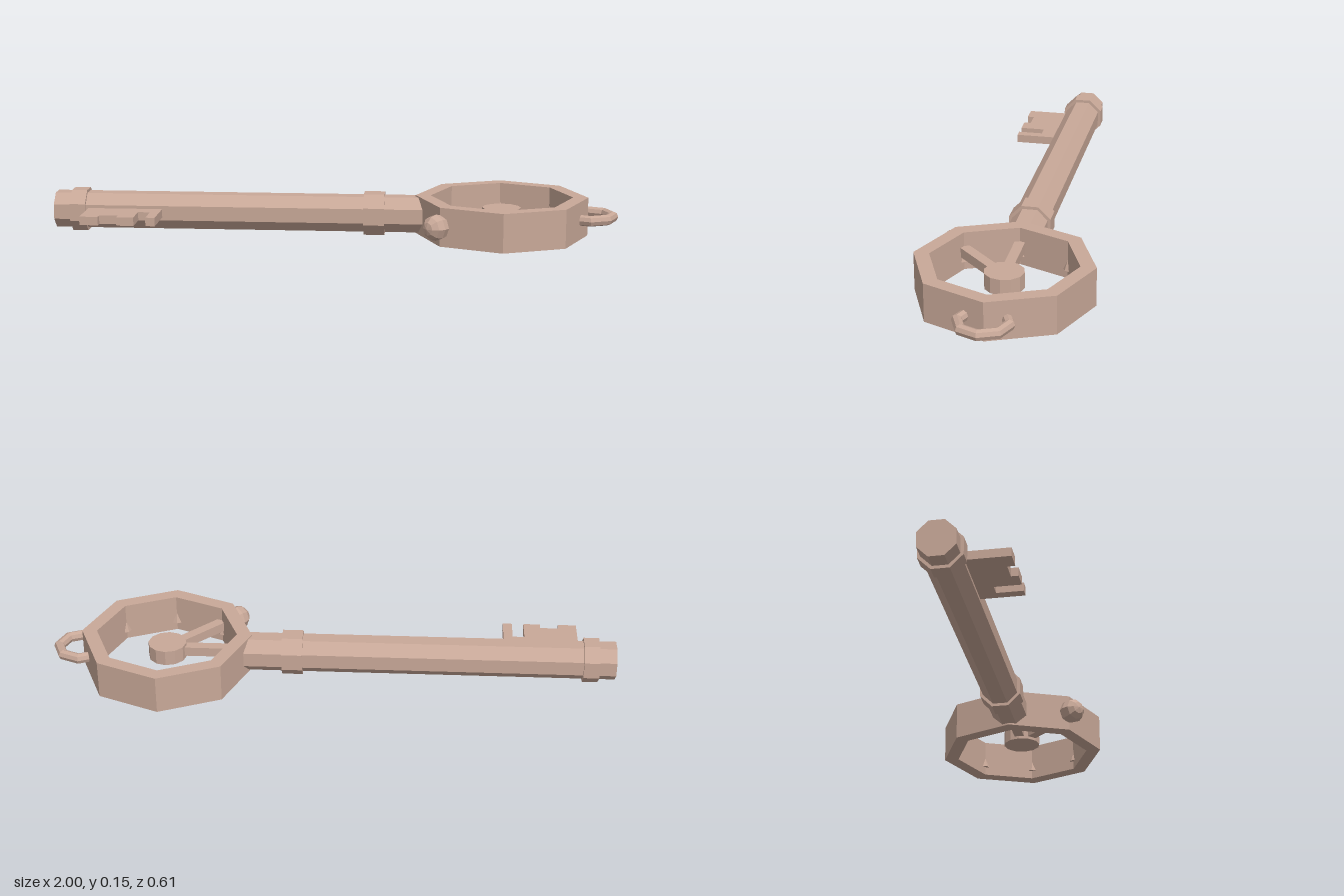
import * as THREE from 'three';

const AXIS = 0.075; // height of the shaft's centre line
const RING_X = 0.59;

export function createModel() {
  const key = new THREE.Group();
  key.name = 'key';
  const metal = new THREE.MeshStandardMaterial({ color: 0xc8a898, flatShading: true });
  metal.name = 'rose metal';

  const add = (name, geometry, x, y, z) => {
    const mesh = new THREE.Mesh(geometry, metal);
    mesh.name = name;
    mesh.position.set(x, y, z);
    key.add(mesh);
    return mesh;
  };

  // Eight-sided bar along x, flat side up, sized by its half height
  const bar = (name, x0, x1, half) => {
    const g = new THREE.CylinderGeometry(half / Math.cos(Math.PI / 8), half / Math.cos(Math.PI / 8), x1 - x0, 8);
    g.rotateY(Math.PI / 8).rotateZ(Math.PI / 2);
    return add(name, g, (x0 + x1) / 2, AXIS, 0);
  };
  bar('shaft', -1, 0.32, 0.0625);
  bar('tipCollar', -0.94, -0.885, 0.073);
  bar('ringCollar', 0.105, 0.178, 0.073);

  // Notched bit; the outline is drawn in x and z
  const bitOutline = [
    [-0.875, 0.03], [-0.61, 0.03], [-0.61, 0.21], [-0.643, 0.21], [-0.643, 0.12], [-0.685, 0.12],
    [-0.685, 0.21], [-0.745, 0.21], [-0.745, 0.185], [-0.81, 0.185], [-0.81, 0.21], [-0.875, 0.21],
  ].map(([x, z]) => new THREE.Vector2(x, z));
  const bit = new THREE.ExtrudeGeometry(new THREE.Shape(bitOutline), { depth: 0.03, bevelEnabled: false });
  add('bit', bit.rotateX(Math.PI / 2), 0, AXIS + 0.015, 0);

  // Octagonal ring
  const octagon = (r) => Array.from({ length: 8 }, (_, i) =>
    new THREE.Vector2(r * Math.cos(i * Math.PI / 4), r * Math.sin(i * Math.PI / 4)));
  const ringShape = new THREE.Shape(octagon(0.303));
  ringShape.holes.push(new THREE.Path(octagon(0.25)));
  const ring = new THREE.ExtrudeGeometry(ringShape, { depth: 0.136, bevelEnabled: false });
  add('ring', ring.rotateX(Math.PI / 2), RING_X, 0.142, 0);

  // Small spikes half sunk into the inner corners
  for (let i = 0; i < 8; i++) {
    const a = i * Math.PI / 4;
    add('cornerSpike', new THREE.ConeGeometry(0.026, 0.075, 8),
      RING_X + 0.263 * Math.cos(a), AXIS, 0.263 * Math.sin(a));
  }

  // Hub and its two spokes
  add('hub', new THREE.CylinderGeometry(0.068, 0.068, 0.055, 12), RING_X, AXIS, 0);
  const spoke = (name, length, angle) => {
    const g = new THREE.BoxGeometry(length, 0.034, 0.036).translate(-length / 2, 0, 0);
    add(name, g, RING_X, AXIS, 0).rotation.y = angle;
  };
  spoke('straightSpoke', 0.26, 0);
  spoke('slantedSpoke', 0.3, Math.PI / 4);

  // Knob outside the ring, in line with the slanted spoke
  const knob = add('knob', new THREE.SphereGeometry(0.046, 8, 6), 0.363, AXIS, 0.227);
  knob.quaternion.setFromUnitVectors(new THREE.Vector3(0, 1, 0), new THREE.Vector3(-1, 0, 1).normalize());

  // Hanging loop, its ends sunk into the ring
  const loop = new THREE.TorusGeometry(0.083, 0.019, 8, 6, Math.PI * 1.5);
  add('loop', loop.rotateZ(-Math.PI * 0.75).rotateX(Math.PI / 2), 0.897, AXIS, 0);

  return key;
}
